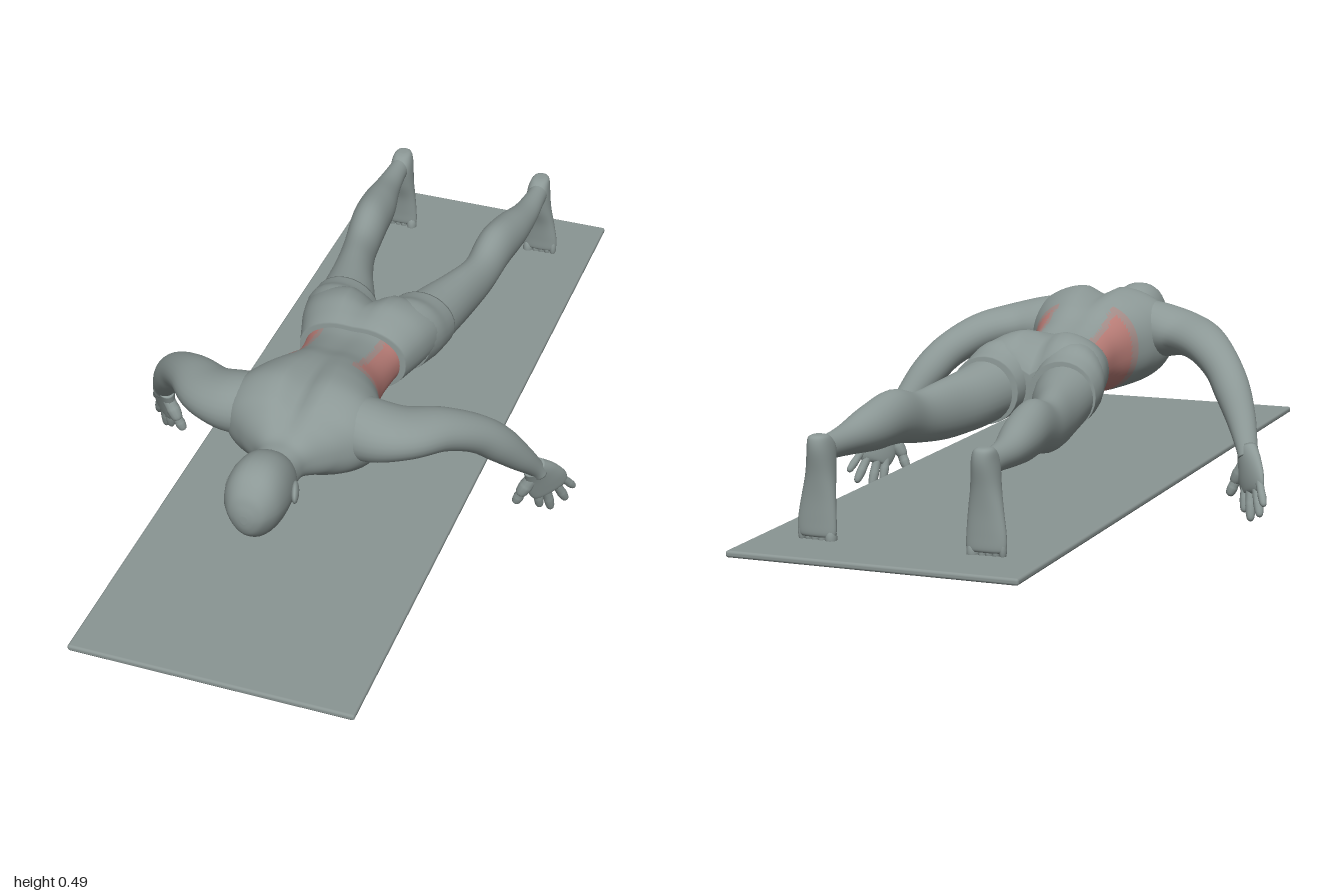
import * as THREE from 'three';
import { RoundedBoxGeometry } from 'three/addons/geometries/RoundedBoxGeometry.js';

const mat = (name, color) => Object.assign(new THREE.MeshStandardMaterial({ color }), { name });
const V = (x, y, z) => new THREE.Vector3(x, y, z);

// Smoothly resample rows of section numbers
function resample(rows, k) {
  const out = [], n = rows.length;
  const at = i => rows[Math.max(0, Math.min(n - 1, i))];
  for (let i = 0; i < n - 1; i++) for (let j = 0; j < k; j++) {
    const t = j / k;
    out.push(rows[0].map((_, c) => {
      const [a, b, d, e] = [at(i - 1)[c], at(i)[c], at(i + 1)[c], at(i + 2)[c]];
      return 0.5 * (2 * b + (d - a) * t + (2 * a - 5 * b + 4 * d - e) * t * t + (3 * b - a - 3 * d + e) * t * t * t);
    }));
  }
  out.push(rows[n - 1]);
  return out;
}

// Closed skin over rings; ring(row, angle, index, allRows) gives a point
function loft(rows, ring, n = 28, k = 5) {
  const r = resample(rows, k), pts = [], idx = [], m = r.length;
  r.forEach((row, i) => {
    for (let j = 0; j < n; j++) pts.push(ring(row, j / n * Math.PI * 2, i, r));
  });
  for (const i of [0, m - 1]) {
    const c = V(0, 0, 0);
    for (let j = 0; j < n; j++) c.add(pts[i * n + j]);
    pts.push(c.divideScalar(n));
  }
  for (let i = 0; i < m - 1; i++) for (let j = 0; j < n; j++) {
    const a = i * n + j, b = i * n + (j + 1) % n;
    idx.push(a, b, a + n, b, b + n, a + n);
  }
  for (let j = 0; j < n; j++) {
    const q = (j + 1) % n, e = (m - 1) * n;
    idx.push(m * n, q, j, m * n + 1, e + j, e + q);
  }
  // turn all faces outward
  let vol = 0;
  for (let i = 0; i < idx.length; i += 3) vol += pts[idx[i]].dot(V(0, 0, 0).crossVectors(pts[idx[i + 1]], pts[idx[i + 2]]));
  if (vol < 0) for (let i = 0; i < idx.length; i += 3) [idx[i], idx[i + 1]] = [idx[i + 1], idx[i]];
  const g = new THREE.BufferGeometry().setFromPoints(pts);
  g.setIndex(idx);
  g.computeVertexNormals();
  return g;
}

// Body section: [z, halfWidth, bottom, top, centre groove]
const pw = (v, p) => Math.sign(v) * Math.abs(v) ** p;
const bodyRing = ([z, w, b, t, groove], a) => {
  const x = w * pw(Math.cos(a), 0.88), s = pw(Math.sin(a), 0.88);
  return V(x, (b + t) / 2 + (t - b) / 2 * s - (s > 0 ? groove * Math.exp(-((x / 0.03) ** 2)) : 0), z);
};
// Leg section: [z, inner x, outer x, bottom, top]
const legRing = s => ([z, i, o, b, t], a) =>
  V(s * ((i + o) / 2 + (o - i) / 2 * Math.cos(a)), (b + t) / 2 + (t - b) / 2 * Math.sin(a), z);
// Foot section: [y, inner x, outer x, back z, front z]
const footRing = s => ([y, i, o, b, f], a) =>
  V(s * ((i + o) / 2 + (o - i) / 2 * pw(Math.cos(a), 0.9)), y, (b + f) / 2 + (f - b) / 2 * pw(Math.sin(a), 0.9));
// Limb section: [x, y, z, radius along ref, radius across]
const limbRing = (s, ref) => ([x, y, z, p, q], a, i, all) => {
  const A = all[Math.max(0, i - 1)], B = all[Math.min(all.length - 1, i + 1)];
  const t = V(B[0] - A[0], B[1] - A[1], B[2] - A[2]).normalize();
  const u = ref.clone().addScaledVector(t, -ref.dot(t)).normalize();
  const v = V(0, 0, 0).crossVectors(t, u);
  const P = V(x, y, z).addScaledVector(u, p * Math.cos(a)).addScaledVector(v, q * Math.sin(a));
  P.x *= s;
  return P;
};

export function createModel() {
  const model = new THREE.Group();
  const body = mat('body grey', 0x8c9896), floor = mat('mat grey', 0x8a9593);
  const red = mat('muscle red', 0xb97d77), faded = mat('faded red', 0xa28b87);
  const add = (name, geo, m = body) => {
    const mesh = new THREE.Mesh(geo, m);
    mesh.name = name;
    model.add(mesh);
    return mesh;
  };
  const blob = (name, x, y, z, a, b, c) => {
    const e = add(name, new THREE.SphereGeometry(1, 20, 14));
    e.position.set(x, y, z);
    e.scale.set(a, b, c);
    return e;
  };

  add('exerciseMat', new RoundedBoxGeometry(0.66, 0.015, 2, 3, 0.006), floor).position.y = 0.0975;

  // Torso and neck, with the waist muscles painted
  const torso = loft([
    [0.05, 0.125, 0.262, 0.412, 0.004], [0.12, 0.114, 0.262, 0.417, 0.005], [0.2, 0.112, 0.255, 0.44, 0.007],
    [0.27, 0.13, 0.247, 0.47, 0.01], [0.34, 0.163, 0.245, 0.492, 0.02], [0.41, 0.185, 0.25, 0.5, 0.028],
    [0.47, 0.165, 0.28, 0.482, 0.024], [0.51, 0.115, 0.305, 0.453, 0.012], [0.545, 0.066, 0.318, 0.427, 0.004],
    [0.58, 0.052, 0.315, 0.42, 0], [0.64, 0.05, 0.31, 0.42, 0]], bodyRing, 64, 8);
  const p = torso.attributes.position, src = torso.index.array, parts = [[], [], []];
  for (let i = 0; i < src.length; i += 3) {
    const f = [src[i], src[i + 1], src[i + 2]];
    const mean = fn => (fn(f[0]) + fn(f[1]) + fn(f[2])) / 3;
    const x = Math.abs(mean(j => p.getX(j))), y = mean(j => p.getY(j)), z = mean(j => p.getZ(j));
    const edge = y > 0.35 ? x - 0.082 : 1;
    parts[z > 0.285 || edge < -0.012 ? 0 : z > 0.265 || edge < 0 ? 1 : 2].push(...f);
  }
  torso.setIndex(parts.flat());
  let start = 0;
  parts.forEach((q, i) => { torso.addGroup(start, q.length, i); start += q.length; });
  add('torso', torso, [body, faded, red]);

  // Shorts seat
  add('shortsSeat', loft([
    [0.09, 0.131, 0.254, 0.423, 0.004], [0.05, 0.143, 0.248, 0.436, 0.01], [0, 0.158, 0.244, 0.445, 0.022],
    [-0.05, 0.168, 0.243, 0.435, 0.035], [-0.085, 0.168, 0.252, 0.41, 0.04], [-0.1, 0.13, 0.28, 0.38, 0.03]], bodyRing, 48));

  // Head, face down
  add('head', loft([
    [0.565, 0.022, 0.3, 0.36, 0], [0.578, 0.044, 0.279, 0.405, 0], [0.605, 0.058, 0.273, 0.437, 0],
    [0.645, 0.066, 0.27, 0.46, 0], [0.69, 0.069, 0.275, 0.468, 0], [0.73, 0.063, 0.292, 0.457, 0],
    [0.76, 0.045, 0.318, 0.428, 0], [0.772, 0.025, 0.34, 0.4, 0], [0.776, 0.008, 0.36, 0.38, 0]],
    (r, a) => {
      const v = bodyRing(r, a);
      v.x *= 1 - 0.3 * Math.max(0, -Math.sin(a));
      return v;
    }, 36));
  blob('nose', 0, 0.271, 0.648, 0.011, 0.016, 0.02);
  blob('lips', 0, 0.273, 0.612, 0.02, 0.007, 0.01);
  blob('chin', 0, 0.281, 0.585, 0.024, 0.013, 0.014);

  const up = V(0, 1, 0), across = V(0.73, 0, -0.68);
  for (const s of [1, -1]) {
    const side = s > 0 ? 'left' : 'right';
    blob(side + 'Ear', s * 0.07, 0.372, 0.65, 0.009, 0.022, 0.03).rotation.y = s * 0.3;

    // Leg and short sleeve of the shorts
    add(side + 'ShortsLeg', loft([
      [-0.01, 0.012, 0.158, 0.25, 0.425], [-0.06, 0.006, 0.173, 0.24, 0.422],
      [-0.1, 0.008, 0.178, 0.237, 0.405], [-0.14, 0.014, 0.18, 0.234, 0.394]], legRing(s)));
    add(side + 'Leg', loft([
      [-0.1, 0.016, 0.172, 0.242, 0.39], [-0.2, 0.045, 0.179, 0.23, 0.375], [-0.3, 0.085, 0.187, 0.225, 0.362],
      [-0.4, 0.114, 0.2, 0.234, 0.352], [-0.5, 0.12, 0.213, 0.25, 0.374], [-0.6, 0.13, 0.222, 0.253, 0.358],
      [-0.7, 0.153, 0.221, 0.262, 0.332], [-0.78, 0.164, 0.216, 0.268, 0.324], [-0.83, 0.166, 0.214, 0.262, 0.325]], legRing(s)));

    // Foot and toes
    add(side + 'Foot', loft([
      [0.333, 0.178, 0.2, -0.85, -0.825], [0.326, 0.167, 0.211, -0.861, -0.805], [0.3, 0.16, 0.216, -0.864, -0.785],
      [0.25, 0.157, 0.222, -0.856, -0.795], [0.2, 0.153, 0.231, -0.852, -0.812], [0.15, 0.15, 0.239, -0.852, -0.82],
      [0.12, 0.15, 0.239, -0.852, -0.823], [0.112, 0.156, 0.232, -0.848, -0.828]], footRing(s)));
    for (let i = 0; i < 5; i++) {
      const r = i ? 0.0085 : 0.013;
      blob(side + 'Toe', s * (i ? 0.169 + i * 0.0155 : 0.163), 0.109 + i * 0.003, -0.836, r, 0.026, r + 0.002);
    }

    // Arm
    add(side + 'Arm', loft([
      [0.1, 0.395, 0.41, 0.075, 0.07], [0.17, 0.392, 0.41, 0.066, 0.08], [0.235, 0.388, 0.388, 0.052, 0.074],
      [0.3, 0.373, 0.33, 0.047, 0.058], [0.36, 0.333, 0.27, 0.044, 0.047], [0.4, 0.283, 0.225, 0.043, 0.044],
      [0.435, 0.225, 0.182, 0.034, 0.036], [0.462, 0.17, 0.14, 0.023, 0.027], [0.472, 0.146, 0.126, 0.02, 0.026]], limbRing(s, up)));

    // Hand: palm, fingers and thumb
    add(side + 'Palm', loft([
      [0.464, 0.166, 0.138, 0.027, 0.022], [0.476, 0.135, 0.118, 0.041, 0.02], [0.487, 0.1, 0.1, 0.05, 0.017],
      [0.495, 0.077, 0.089, 0.046, 0.013], [0.497, 0.068, 0.086, 0.028, 0.006]], limbRing(s, across)));
    const digit = (name, a, b, r) => {
      const row = (t, q) => [...a.map((v, i) => v + (b[i] - v) * t), q * r, q * r];
      add(side + name, loft([row(0, 1), row(0.45, 1), row(0.6, 1.06), row(0.85, 0.9), row(0.96, 0.6), row(1, 0.15)],
        limbRing(s, across), 12, 3));
    };
    digit('IndexFinger', [0.468, 0.095, 0.116], [0.472, 0.018, 0.094], 0.011);
    digit('MiddleFinger', [0.485, 0.09, 0.1], [0.494, 0.002, 0.074], 0.0115);
    digit('RingFinger', [0.503, 0.09, 0.084], [0.524, 0.02, 0.05], 0.011);
    digit('LittleFinger', [0.515, 0.1, 0.072], [0.538, 0.05, 0.034], 0.0095);
    digit('ThumbBase', [0.468, 0.142, 0.13], [0.432, 0.075, 0.138], 0.016);
    digit('ThumbTip', [0.442, 0.095, 0.137], [0.422, 0.046, 0.134], 0.012);
  }
  return model;
}
